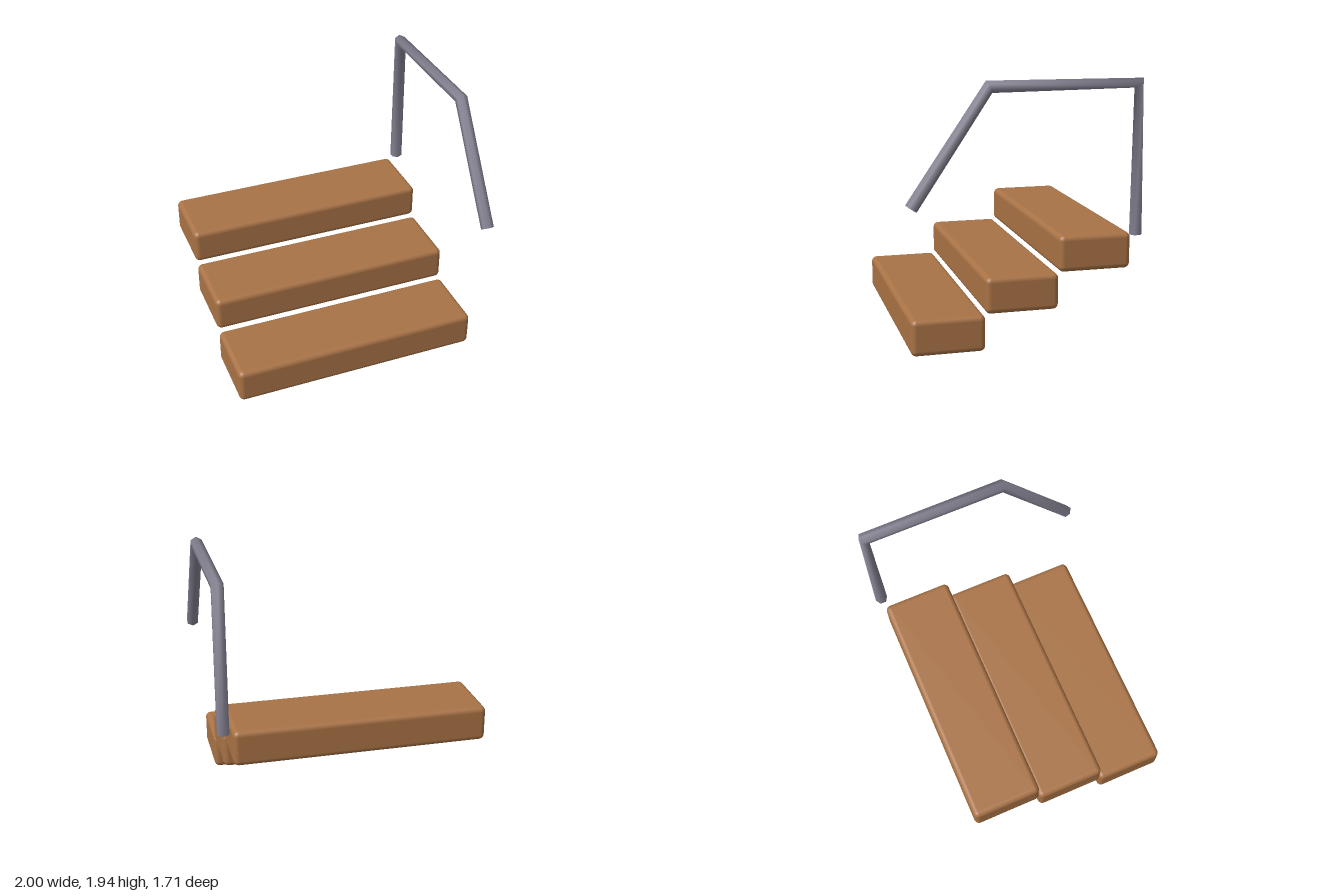
import * as THREE from 'three';
import { RoundedBoxGeometry } from 'three/addons/geometries/RoundedBoxGeometry.js';

// Path of straight runs; the tangent at each corner bisects its two runs
class BentPath extends THREE.Curve {
  constructor(points) {
    super();
    this.points = points;
  }
  getPointAt(u, target = new THREE.Vector3()) {
    const last = this.points.length - 1;
    const i = Math.min(Math.floor(u * last + 1e-6), last - 1);
    return target.lerpVectors(this.points[i], this.points[i + 1], u * last - i);
  }
  getTangentAt(u, target = new THREE.Vector3()) {
    const p = this.points;
    const i = Math.round(u * (p.length - 1));
    target.set(0, 0, 0);
    for (const j of [i - 1, i]) {
      if (p[j] && p[j + 1]) target.add(p[j + 1].clone().sub(p[j]).normalize());
    }
    return target.normalize();
  }
}

export function createModel() {
  const model = new THREE.Group();
  model.name = 'stepsWithHandrail';

  const wood = new THREE.MeshStandardMaterial({ color: 0xa87245 });
  wood.name = 'wood';
  const metal = new THREE.MeshStandardMaterial({ color: 0x858292 });
  metal.name = 'greyMetal';
  metal.side = THREE.DoubleSide; // the rail is an open tube

  // Three floating treads, rising towards the back
  const width = 1.886, height = 0.268, depth = 0.539, rise = 0.271, run = 0.54;
  const treadGeometry = new RoundedBoxGeometry(width, height, depth, 4, 0.04);
  for (let i = 0; i < 3; i++) {
    const tread = new THREE.Mesh(treadGeometry, wood);
    tread.name = `step${i + 1}`;
    tread.position.set(-1 + width / 2, height / 2 + i * rise, 0.545 - i * run);
    model.add(tread);
  }

  // Six-sided handrail: back post, level bar, sloping front bar
  const railX = 0.958;
  const path = new BentPath([
    new THREE.Vector3(railX, 0.815, -0.805),
    new THREE.Vector3(railX, 1.897, -0.805),
    new THREE.Vector3(railX, 1.895, 0.274),
    new THREE.Vector3(railX, 1.085, 0.818),
  ]);
  const rail = new THREE.Mesh(new THREE.TubeGeometry(path, 3, 0.048, 6, false), metal);
  rail.name = 'handrail';
  model.add(rail);

  return model;
}
